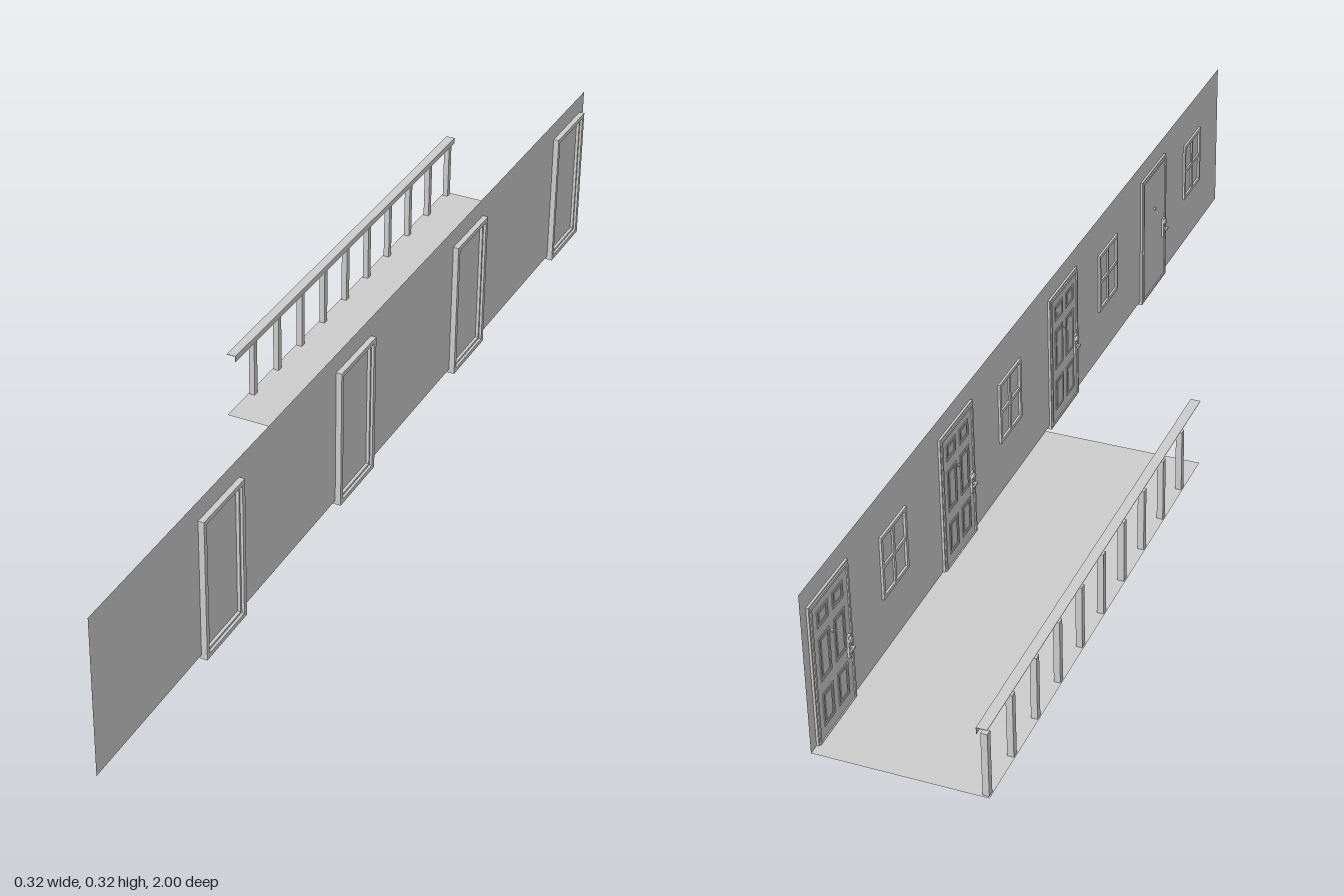
import * as THREE from 'three';

const grey = new THREE.MeshStandardMaterial({ color: 0xcccccc, flatShading: true });
const thin = new THREE.MeshStandardMaterial({ color: 0xcccccc, side: THREE.DoubleSide });
const WALL_X = 0.148, FLOOR_Y = 0.008;

// Box given by its limits on each axis
function box(parent, name, [x0, x1], [y0, y1], [z0, z1]) {
  const mesh = new THREE.Mesh(new THREE.BoxGeometry(x1 - x0, y1 - y0, z1 - z0), grey);
  mesh.position.set((x0 + x1) / 2, (y0 + y1) / 2, (z0 + z1) / 2);
  mesh.name = name;
  parent.add(mesh);
  return mesh;
}

// Four bars around a rectangle in the y-z plane
function frame(parent, name, x, [y0, y1], [z0, z1], w) {
  box(parent, name, x, [y0, y1], [z0, z0 + w]);
  box(parent, name, x, [y0, y1], [z1 - w, z1]);
  box(parent, name, x, [y1 - w, y1], [z0 + w, z1 - w]);
  box(parent, name, x, [y0, y0 + w], [z0 + w, z1 - w]);
}

function makeDoor(panelled) {
  const door = new THREE.Group();
  door.name = 'door';
  box(door, 'doorSlab', [0.1437, WALL_X - 0.0004], [0.008, 0.274], [-0.062, 0.062]);
  frame(door, 'outerFrame', [0.1437, 0.159], [0, 0.282], [-0.07, 0.07], 0.009);
  frame(door, 'innerStop', [WALL_X, 0.154], [0.009, 0.273], [-0.061, 0.061], 0.004);
  frame(door, 'innerTrim', [0.1415, 0.1437], [0.004, 0.279], [-0.067, 0.067], 0.005);

  // Raised panels: low, tall middle and small top pairs
  if (panelled) {
    for (const y of [[0.03, 0.095], [0.12, 0.205], [0.225, 0.258]]) {
      for (const z of [[-0.046, -0.008], [0.008, 0.046]]) {
        frame(door, 'panelMoulding', [0.1425, 0.1438], y, z, 0.004);
        box(door, 'raisedPanel', [0.1428, 0.1438], [y[0] + 0.008, y[1] - 0.008], [z[0] + 0.008, z[1] - 0.008]);
      }
    }
  }

  // Handle set and viewer
  box(door, 'handlePlate', [0.1395, 0.1437], [0.1, 0.143], [0.047, 0.057]);
  const knob = new THREE.Mesh(new THREE.CylinderGeometry(0.006, 0.006, 0.006, 12), grey);
  knob.rotation.z = Math.PI / 2;
  knob.position.set(0.139, 0.135, 0.052);
  knob.name = 'lockKnob';
  const viewer = new THREE.Mesh(new THREE.CylinderGeometry(0.003, 0.003, 0.004, 10), grey);
  viewer.rotation.z = Math.PI / 2;
  viewer.position.set(0.142, 0.19, 0);
  viewer.name = 'viewer';
  door.add(knob, viewer);
  box(door, 'handleStem', [0.133, 0.1395], [0.118, 0.122], [0.05, 0.054]);
  box(door, 'handleLever', [0.132, 0.135], [0.118, 0.122], [0.036, 0.056]);
  return door;
}

function makeWindow() {
  const win = new THREE.Group();
  win.name = 'window';
  const x = [0.1437, WALL_X];
  frame(win, 'windowFrame', x, [0.115, 0.24], [-0.05, 0.05], 0.007);
  box(win, 'windowMullion', [0.145, WALL_X], [0.122, 0.233], [-0.0035, 0.0035]);
  box(win, 'windowCrossbar', [0.1445, WALL_X], [0.174, 0.181], [-0.043, 0.043]);
  return win;
}

export function createModel() {
  const model = new THREE.Group();
  model.name = 'balconyCorridor';

  // Long wall sheet and half-length walkway sheet
  const wall = new THREE.Mesh(new THREE.PlaneGeometry(2, 0.32 - FLOOR_Y), thin);
  wall.rotation.y = Math.PI / 2;
  wall.position.set(WALL_X, (0.32 + FLOOR_Y) / 2, 0);
  wall.name = 'wall';
  const floor = new THREE.Mesh(new THREE.PlaneGeometry(0.16 + WALL_X, 1), thin);
  floor.rotation.x = -Math.PI / 2;
  floor.position.set((WALL_X - 0.16) / 2, FLOOR_Y, -0.5);
  floor.name = 'walkwayFloor';
  model.add(wall, floor);

  // Doors and windows alternate along the wall
  for (let i = 0; i < 4; i++) {
    const door = makeDoor(i < 3);
    door.position.z = -0.91 + 0.5 * i;
    const win = makeWindow();
    win.position.z = -0.67 + 0.5 * i;
    model.add(door, win);
  }

  // Railing: angle-section handrail on square posts
  const railing = new THREE.Group();
  railing.name = 'railing';
  box(railing, 'handrailTop', [-0.16, -0.141], [0.1435, 0.1445], [-1, 0]);
  box(railing, 'handrailLip', [-0.142, -0.141], [0.132, 0.1435], [-1, 0]);
  for (let i = 0; i < 10; i++) {
    const z = -0.99 + 0.1 * i;
    box(railing, 'railPost', [-0.158, -0.1465], [FLOOR_Y, 0.132], [z - 0.006, z + 0.006]);
  }
  model.add(railing);
  return model;
}
